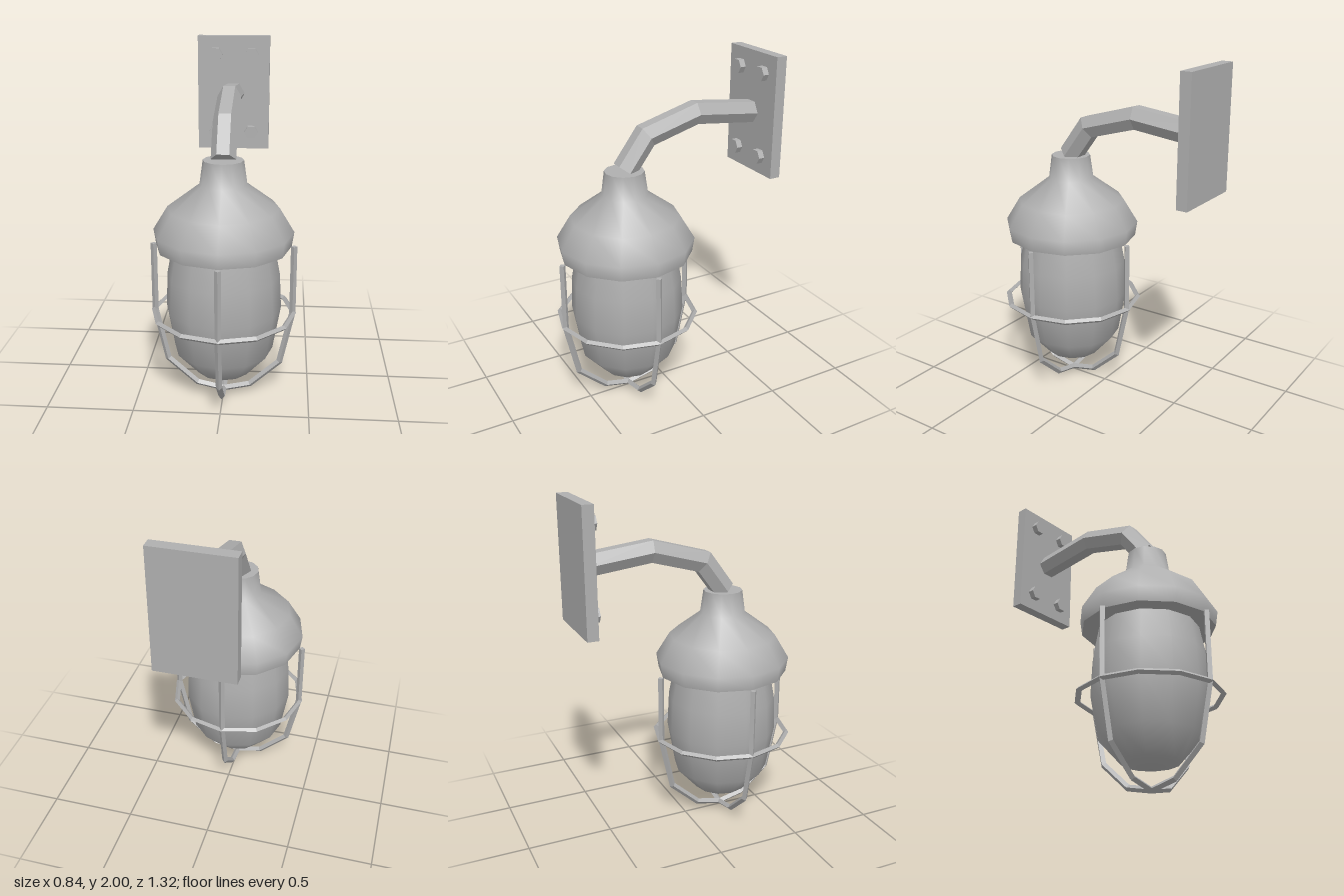
import * as THREE from 'three';

const grey = new THREE.MeshStandardMaterial({ color: 0xb0b0b0 });
grey.name = 'grey metal';

const LAMP_Z = 0.24; // vertical axis of the lamp body

function faceted(geometry) {
  const g = geometry.index ? geometry.toNonIndexed() : geometry;
  g.computeVertexNormals();
  return g;
}

function add(parent, name, geometry) {
  const mesh = new THREE.Mesh(geometry, grey);
  mesh.name = name;
  parent.add(mesh);
  return mesh;
}

function lathe(profile) {
  return new THREE.LatheGeometry(profile.map(([r, y]) => new THREE.Vector2(r, y)), 12);
}

// Mitred bar with a polygon section, following a path in the XY plane
function bar(path, radius, sides, startAngle) {
  const pts = path.map(([x, y]) => new THREE.Vector2(x, y));
  const rings = pts.map((p, i) => {
    const before = p.clone().sub(pts[Math.max(i - 1, 0)]).normalize();
    const after = pts[Math.min(i + 1, pts.length - 1)].clone().sub(p).normalize();
    const t = before.clone().add(after).normalize();
    const stretch = 1 / t.dot(i === 0 ? after : before);
    return Array.from({ length: sides }, (_, j) => {
      const a = startAngle + (j / sides) * Math.PI * 2;
      const n = Math.cos(a) * radius * stretch;
      return [p.x - t.y * n, p.y + t.x * n, Math.sin(a) * radius];
    });
  });
  const pos = [];
  const tri = (a, b, c) => pos.push(...a, ...b, ...c);
  for (let i = 0; i < rings.length - 1; i++) {
    for (let j = 0; j < sides; j++) {
      const k = (j + 1) % sides;
      tri(rings[i][j], rings[i][k], rings[i + 1][j]);
      tri(rings[i][k], rings[i + 1][k], rings[i + 1][j]);
    }
  }
  const first = rings[0], last = rings[rings.length - 1];
  for (let j = 1; j < sides - 1; j++) {
    tri(first[0], first[j + 1], first[j]);
    tri(last[0], last[j], last[j + 1]);
  }
  const g = new THREE.BufferGeometry();
  g.setAttribute('position', new THREE.Float32BufferAttribute(pos, 3));
  return faceted(g);
}

export function createModel() {
  const model = new THREE.Group();
  model.name = 'wallLamp';

  // Wall plate with four hexagonal bolts
  add(model, 'wallPlate', new THREE.BoxGeometry(0.45, 0.71, 0.065)).position.set(0, 1.645, -0.6275);
  const bolt = new THREE.CylinderGeometry(0.044, 0.044, 0.045, 6);
  bolt.rotateY(Math.PI / 2).rotateX(Math.PI / 2);
  const boltGeometry = faceted(bolt);
  for (const x of [-0.113, 0.113]) {
    for (const y of [1.4, 1.89]) {
      add(model, 'bolt', boltGeometry).position.set(x, y, -0.5815);
    }
  }

  // Bent hexagonal arm
  const arm = bar([[-0.597, 1.645], [-0.21, 1.69], [0.105, 1.602], [0.238, 1.423]], 0.07, 6, Math.PI / 6);
  add(model, 'arm', arm.rotateY(-Math.PI / 2));

  // Lamp body
  const lamp = new THREE.Group();
  lamp.name = 'lamp';
  lamp.position.z = LAMP_Z;
  model.add(lamp);
  add(lamp, 'shade', lathe([[0.382, 0.93], [0.395, 1.015], [0.313, 1.15], [0.132, 1.285], [0.113, 1.42]]));
  add(lamp, 'shadeTop', lathe([[0.113, 1.42], [0, 1.42]]));
  add(lamp, 'shadeUnderside', lathe([[0, 0.93], [0.382, 0.93]]));
  add(lamp, 'glass', lathe([[0, 0.12], [0.16, 0.16], [0.285, 0.3], [0.33, 0.56], [0.32, 0.76], [0.288, 0.93]]));

  // Protective cage: two crossed hoops and a ring
  const half = [[-0.396, 0.93], [-0.396, 0.525], [-0.327, 0.21], [-0.155, 0.055]];
  const hoop = [...half, [0, 0.02], ...half.map(([x, y]) => [-x, y]).reverse()];
  const hoopGeometry = bar(hoop, 0.018, 4, 0);
  for (const turn of [0, Math.PI / 2]) {
    add(lamp, 'cageHoop', hoopGeometry).rotation.y = turn;
  }
  const ring = new THREE.TorusGeometry(0.402, 0.016, 4, 12).rotateX(Math.PI / 2);
  add(lamp, 'cageRing', faceted(ring)).position.y = 0.525;

  return model;
}
